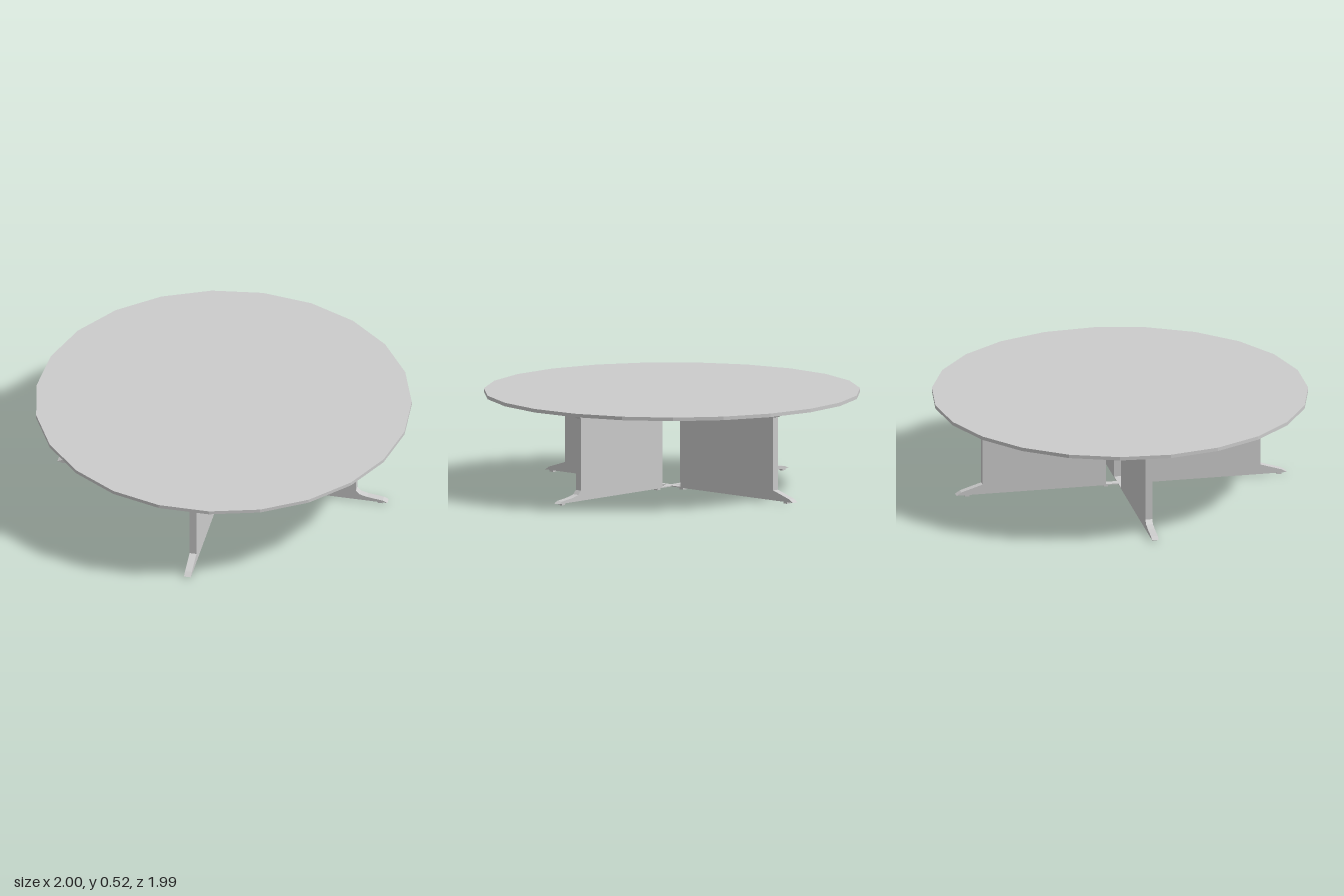
import * as THREE from 'three';

const THICK = 0.037, BASE = 0.01, UNDER = 0.505, TOP = 0.524;

// Upright panel with flared ends and an open slot in the middle.
// end: outline of the +u end from bottom to top, as [u, y].
function panelGeometry(end, slot) {
  const outline = [...end, ...end.map(([u, y]) => [-u, y]).reverse()];
  const shape = new THREE.Shape(outline.map(([u, y]) => new THREE.Vector2(u, y)));
  const y0 = 0.015, y1 = 0.5;
  shape.holes.push(new THREE.Path([
    new THREE.Vector2(-slot, y0), new THREE.Vector2(-slot, y1),
    new THREE.Vector2(slot, y1), new THREE.Vector2(slot, y0),
  ]));
  return new THREE.ExtrudeGeometry(shape, { depth: THICK, bevelEnabled: false })
    .translate(0, 0, -THICK / 2);
}

export function createModel() {
  const model = new THREE.Group();
  model.name = 'roundTable';
  const material = new THREE.MeshStandardMaterial({ color: 0xcccccc, flatShading: true });
  const add = (parent, name, geometry) => {
    const mesh = new THREE.Mesh(geometry, material);
    mesh.name = name;
    parent.add(mesh);
    return mesh;
  };

  // Faceted disc top, one corner pointing to the back
  const top = add(model, 'tableTop', new THREE.CylinderGeometry(1, 1, TOP - UNDER, 23));
  top.rotation.y = Math.PI;
  top.position.y = (TOP + UNDER) / 2;

  // Base panel plus four small feet
  const addBase = (name, end, slot, feet) => {
    const base = new THREE.Group();
    base.name = name;
    add(base, name + 'Panel', panelGeometry(end, slot));
    for (const u of feet) {
      add(base, 'foot', new THREE.BoxGeometry(0.026, BASE, 0.026)).position.set(u, BASE / 2, 0);
    }
    model.add(base);
    return base;
  };

  // Side-to-side panel with curved flares
  const side = addBase('sideToSide', [
    [0.895, BASE], [0.87, 0.022], [0.785, 0.033], [0.745, 0.044], [0.725, 0.065],
    [0.725, 0.45], [0.745, 0.468], [0.785, 0.479], [0.87, 0.492], [0.9, UNDER],
  ], 0.088, [-0.865, -0.12, 0.11, 0.855]);
  side.position.z = 0.005;

  // Front-to-back panel with straight flares
  const front = addBase('frontToBack', [
    [0.895, BASE], [0.868, 0.027], [0.753, 0.063],
    [0.753, 0.453], [0.868, 0.49], [0.895, UNDER],
  ], 0.085, [-0.855, -0.115, 0.085, 0.835]);
  front.rotation.y = Math.PI / 2;
  front.position.z = 0.005;

  return model;
}
